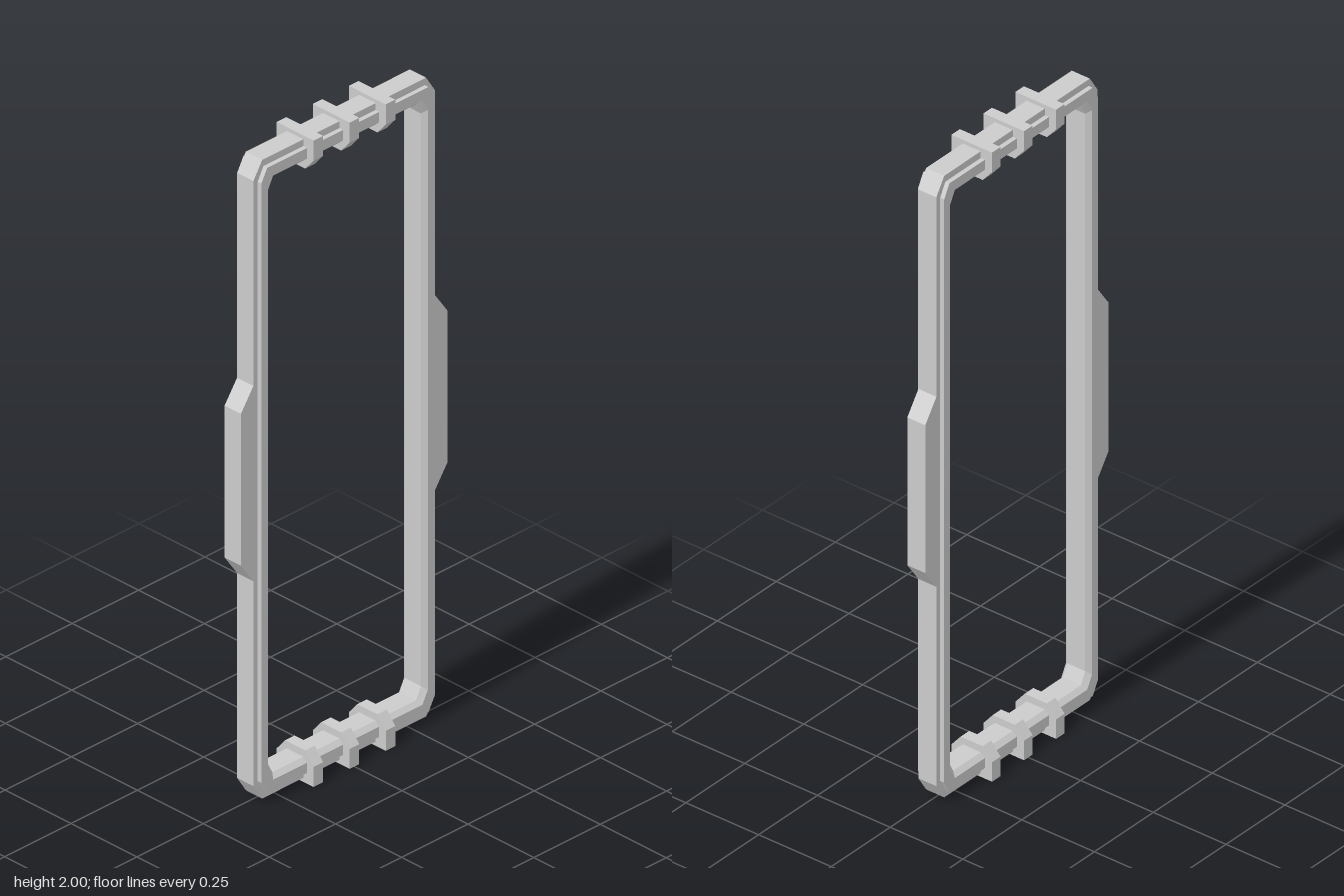
import * as THREE from 'three';

const material = new THREE.MeshStandardMaterial({ color: 0xcccccc, flatShading: true, side: THREE.DoubleSide });
const CENTER_Y = 1;

// Rectangle with cut corners: cx, cy are the cuts along each side
function cutCornerRing({ w, h, cx, cy }, z) {
  const corners = [[w, h - cy], [w - cx, h], [cx - w, h], [-w, h - cy],
    [-w, cy - h], [cx - w, -h], [w - cx, -h], [w, cy - h]];
  return corners.map(([x, y]) => [x, y, z]);
}

// Joins a closed cycle of rings into one hollow band
function loftRings(rings) {
  const positions = rings.flat(2);
  const index = [];
  const n = rings[0].length;
  for (let r = 0; r < rings.length; r++) {
    const next = (r + 1) % rings.length;
    for (let i = 0; i < n; i++) {
      const j = (i + 1) % n;
      const a = r * n + i, b = r * n + j, c = next * n + j, d = next * n + i;
      index.push(a, b, c, a, c, d);
    }
  }
  const geometry = new THREE.BufferGeometry();
  geometry.setAttribute('position', new THREE.Float32BufferAttribute(positions, 3));
  geometry.setIndex(index);
  const flat = geometry.toNonIndexed();
  flat.computeVertexNormals();
  return flat;
}

// Prism of a closed outline, centred on its depth
function prism(points, depth) {
  const shape = new THREE.Shape(points.map(([x, y]) => new THREE.Vector2(x, y)));
  const geometry = new THREE.ExtrudeGeometry(shape, { depth, bevelEnabled: false });
  return geometry.translate(0, 0, -depth / 2);
}

function addMesh(parent, geometry, name) {
  const mesh = new THREE.Mesh(geometry, material);
  mesh.name = name;
  parent.add(mesh);
  return mesh;
}

export function createModel() {
  const model = new THREE.Group();
  model.name = 'rectangularFrame';

  // Frame: thin outer rim, thicker stepped body, chamfered inner edge
  const rim = { w: 0.342, h: 0.988, cx: 0.033, cy: 0.052 };
  const step = { w: 0.326, h: 0.967, cx: 0.022, cy: 0.04 };
  const lip = { w: 0.301, h: 0.935, cx: 0.02, cy: 0.038 };
  const opening = { w: 0.289, h: 0.922, cx: 0.018, cy: 0.036 };
  const profile = [
    [rim, -0.031], [rim, 0.031], [step, 0.031], [step, 0.045],
    [lip, 0.045], [opening, 0.031], [opening, -0.031],
    [lip, -0.045], [step, -0.045], [step, -0.031],
  ];
  const rings = profile.map(([outline, z]) => cutCornerRing(outline, z)).reverse();
  addMesh(model, loftRings(rings), 'frame').position.y = CENTER_Y;

  // Tapered grip on each side
  for (const side of [1, -1]) {
    const outline = [[0.335, -0.302], [0.342, -0.302], [0.389, -0.235],
      [0.389, 0.235], [0.342, 0.302], [0.335, 0.302]];
    const grip = addMesh(model, prism(outline, 0.062), side > 0 ? 'leftGrip' : 'rightGrip');
    grip.position.y = CENTER_Y;
    if (side < 0) grip.rotation.y = Math.PI;
  }

  // Three clips around the top bar and three around the bottom bar
  const clipOutline = [[-0.07, 1], [-0.07, 0.938], [-0.038, 0.9],
    [0.038, 0.9], [0.07, 0.938], [0.07, 1]];
  for (const end of [1, -1]) {
    const clips = new THREE.Group();
    clips.name = end > 0 ? 'topClips' : 'bottomClips';
    clips.position.y = CENTER_Y;
    if (end < 0) clips.rotation.x = Math.PI;
    for (const x of [-0.136, 0, 0.136]) {
      const clip = addMesh(clips, prism(clipOutline, 0.036), 'clip');
      clip.rotation.y = Math.PI / 2;
      clip.position.x = x;
    }
    model.add(clips);
  }

  return model;
}
